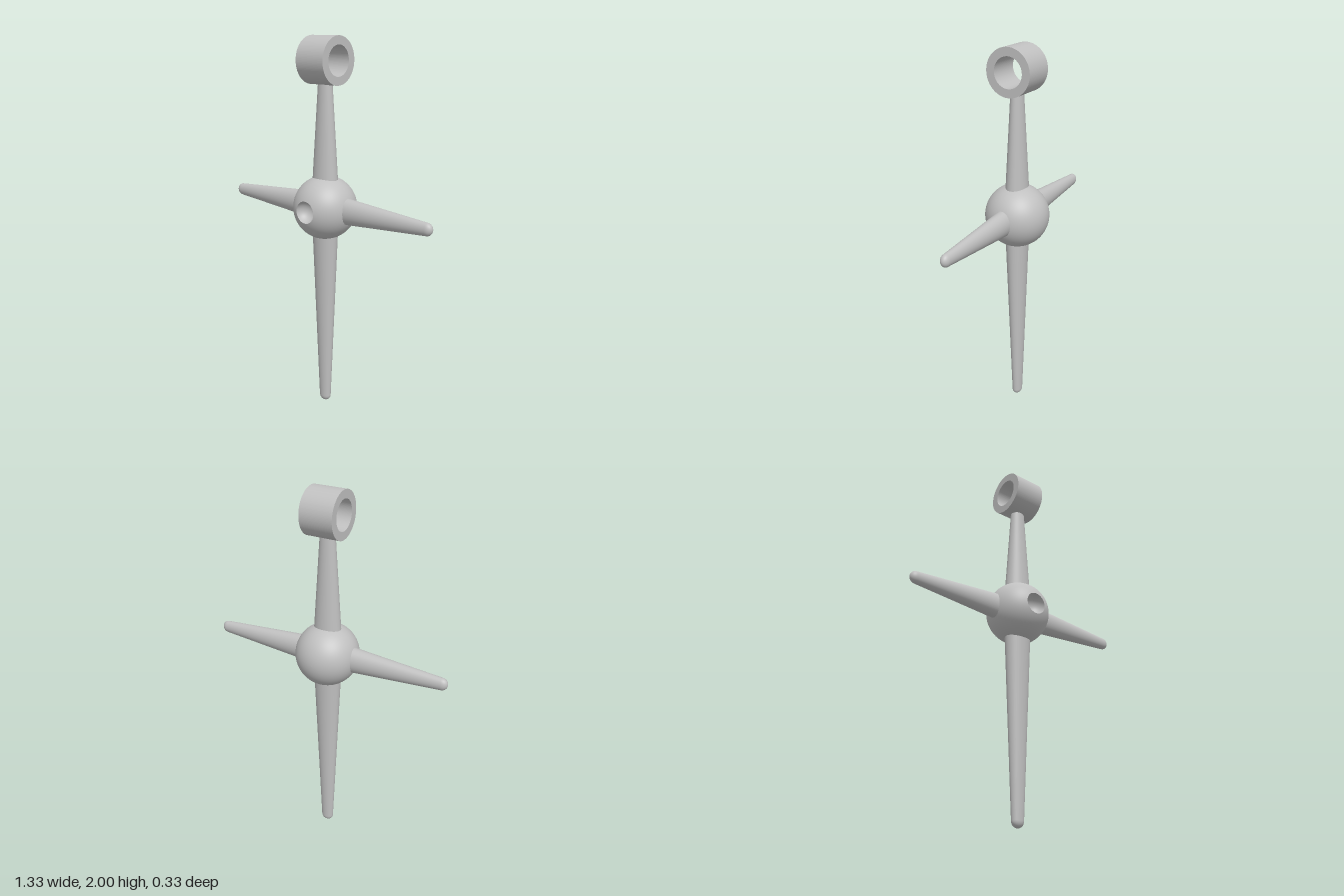
import * as THREE from 'three';

const CENTER = new THREE.Vector3(0, 1.13, 0.005);
const FLATTEN = 0.76; // spikes are oval, thinner front to back

// Tapered oval spike growing along +y, with a round or a flat end
function spikeGeometry(baseR, tipR, length, rounded) {
  const pts = [new THREE.Vector2(baseR, 0)];
  if (rounded) {
    for (let i = 0; i <= 8; i++) {
      const a = (i / 8) * Math.PI / 2;
      pts.push(new THREE.Vector2(tipR * Math.cos(a), length - tipR + tipR * Math.sin(a)));
    }
    pts[pts.length - 1].x = 0;
  } else {
    pts.push(new THREE.Vector2(tipR, length));
  }
  return new THREE.LatheGeometry(pts, 48).scale(1, 1, FLATTEN);
}

// Arc profile turned round the z axis
function turnedArc(radius, from, to, offset, steps) {
  const pts = [];
  for (let i = 0; i <= steps; i++) {
    const a = from + (to - from) * i / steps;
    pts.push(new THREE.Vector2(Math.max(0, radius * Math.cos(a)), offset + radius * Math.sin(a)));
  }
  return new THREE.LatheGeometry(pts, 64).rotateX(Math.PI / 2);
}

export function createModel() {
  const model = new THREE.Group();
  const metal = new THREE.MeshStandardMaterial({ color: 0xc0c0c0 });
  metal.name = 'light grey metal';

  function add(name, geometry, position) {
    const mesh = new THREE.Mesh(geometry, metal);
    mesh.name = name;
    mesh.position.copy(position);
    model.add(mesh);
    return mesh;
  }

  // Central ball with a round dimple in its front
  const R = 0.168, dimpleR = 0.058;
  const rim = Math.acos(dimpleR / R);
  add('ball', turnedArc(R, -Math.PI / 2, rim, 0, 40), CENTER);
  add('dimple', turnedArc(dimpleR, 0, -Math.PI / 2, R * Math.sin(rim), 12), CENTER);

  // Four spikes of the cross
  add('lowerSpike', spikeGeometry(0.08, 0.034, 1.13, true), CENTER).rotation.z = Math.PI;
  add('upperSpike', spikeGeometry(0.083, 0.04, 0.65, false), CENTER);
  for (const side of [1, -1]) {
    const arm = add(side > 0 ? 'leftArm' : 'rightArm', spikeGeometry(0.08, 0.033, 0.665, true), CENTER);
    arm.rotation.z = -side * Math.PI / 2;
  }

  // Hanging ring, its hole running side to side
  const outline = new THREE.Shape().absarc(0, 0, 0.12, 0, Math.PI * 2, false);
  outline.holes.push(new THREE.Path().absarc(0, 0, 0.077, 0, Math.PI * 2, true));
  const width = 0.176;
  const ring = new THREE.ExtrudeGeometry(outline, { depth: width, bevelEnabled: false, curveSegments: 64 });
  ring.translate(0, 0, -width / 2).rotateY(Math.PI / 2);
  add('hangingRing', ring, new THREE.Vector3(0, 1.88, CENTER.z));

  return model;
}
